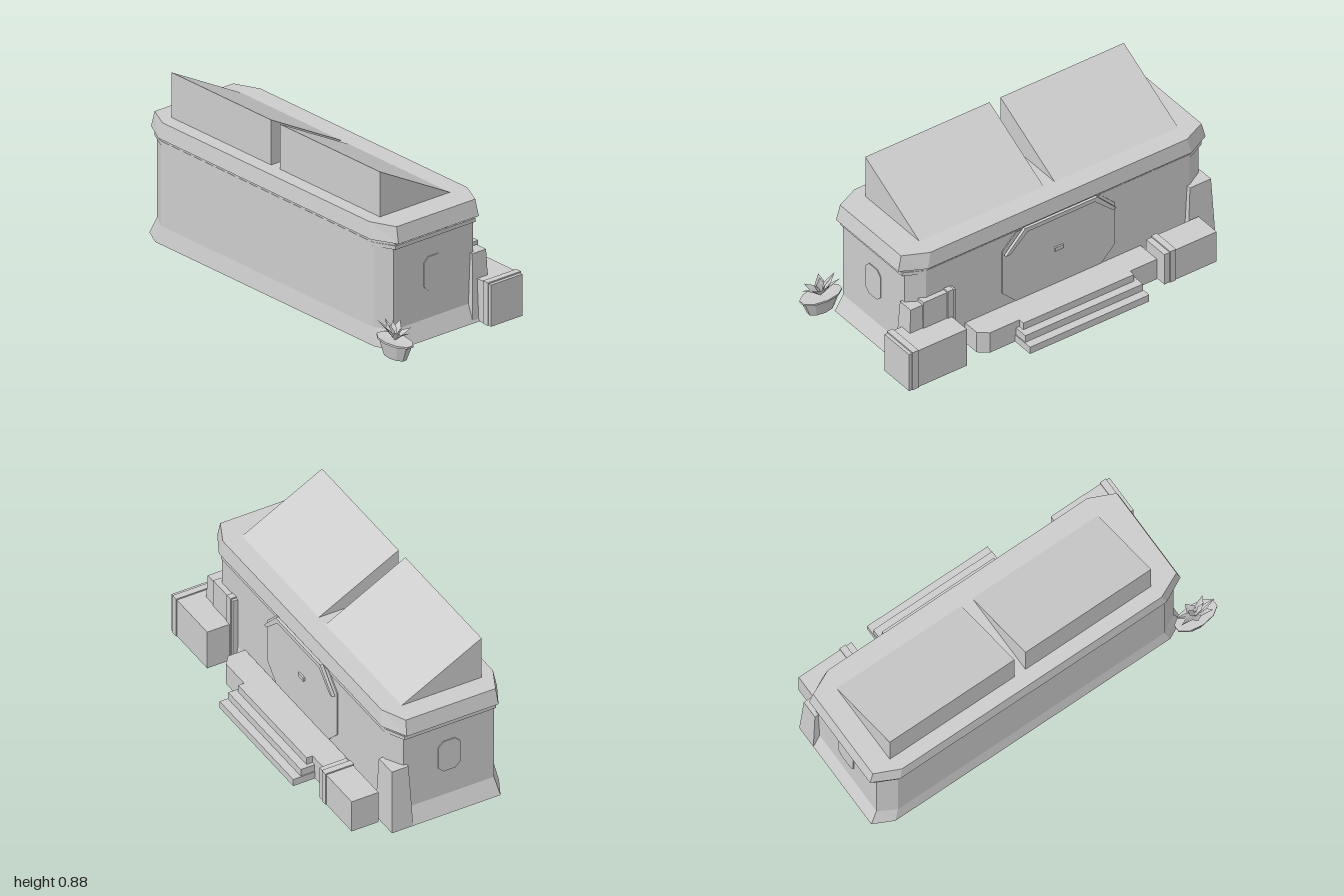
import * as THREE from 'three';

const grey = new THREE.MeshStandardMaterial({ color: 0xcccccc, side: THREE.DoubleSide, flatShading: true });
grey.name = 'plain grey';
const CX = -0.085, CZ = 0.0925;

export function createModel() {
  const root = new THREE.Group();
  root.name = 'outpostBuilding';

  const add = (name, geo, parent = root) => {
    const m = new THREE.Mesh(geo, grey);
    m.name = name;
    parent.add(m);
    return m;
  };
  const vectors = (pts) => pts.map((p) => new THREE.Vector2(...p));

  // Loft through rings of [x, z] at rising heights, closed on top and open below
  const loft = (name, rings) => {
    const pos = [], n = rings[0].pts.length;
    const put = (r, i) => pos.push(r.pts[i % n][0], r.y, r.pts[i % n][1]);
    for (let k = 0; k < rings.length - 1; k++) {
      const a = rings[k], b = rings[k + 1];
      for (let i = 0; i < n; i++) {
        put(a, i); put(b, i); put(b, i + 1);
        put(a, i); put(b, i + 1); put(a, i + 1);
      }
    }
    const top = rings[rings.length - 1];
    for (let i = 1; i < n - 1; i++) {
      put(top, 0); put(top, i + 1); put(top, i);
    }
    const g = new THREE.BufferGeometry();
    g.setAttribute('position', new THREE.Float32BufferAttribute(pos, 3));
    g.computeVertexNormals();
    return add(name, g);
  };

  // Octagonal plan: half sizes and corner cuts
  const oct = (y, hx, hz, cx, cz) => ({
    y,
    pts: [[hx, -hz + cz], [hx, hz - cz], [hx - cx, hz], [-hx + cx, hz],
      [-hx, hz - cz], [-hx, -hz + cz], [-hx + cx, -hz], [hx - cx, -hz]].map(([x, z]) => [x + CX, z + CZ]),
  });
  const rect = (y, x0, x1, z0, z1) => ({ y, pts: [[x1, z0], [x1, z1], [x0, z1], [x0, z0]] });
  // Straight block without an underside
  const block = (name, x0, x1, y0, y1, z0, z1) => loft(name, [rect(y0, x0, x1, z0, z1), rect(y1, x0, x1, z0, z1)]);

  // Walls with flared foot, raised floor, trim bands and roof slab
  loft('walls', [oct(0, 0.915, 0.318, 0.105, 0.052), oct(0.09, 0.875, 0.304, 0.09, 0.052), oct(0.56, 0.875, 0.304, 0.09, 0.052)]);
  loft('floor', [oct(0.09, 0.875, 0.304, 0.09, 0.052)]);
  for (const [y0, y1, out] of [[0.52, 0.54, 0.017], [0.54, 0.56, 0.01]]) {
    const hx = 0.875 + out, hz = 0.304 + out * 0.2, cx = 0.09 + out;
    loft('trimBand', [oct(y0, 0.87, 0.302, 0.09, 0.052), oct(y0, hx, hz, cx, 0.053), oct(y1, hx, hz, cx, 0.053)]);
  }
  loft('roofSlab', [oct(0.558, 0.87, 0.302, 0.09, 0.052), oct(0.558, 0.915, 0.321, 0.13, 0.066), oct(0.642, 0.895, 0.31, 0.13, 0.06)]);

  // Sloped roof panels
  const wedge = new THREE.Shape(vectors([[-0.328, 0.64], [0.12, 0.64], [-0.328, 0.88]]));
  for (const [x0, x1] of [[-0.87, -0.135], [-0.07, 0.67]]) {
    add('roofPanel', new THREE.ExtrudeGeometry(wedge, { depth: x1 - x0, bevelEnabled: false })
      .rotateY(Math.PI / 2).translate(x0, 0, 0));
  }

  // Thin eight-sided plate in the xy plane
  const plate = (w, h, c) => new THREE.ExtrudeGeometry(new THREE.Shape(vectors(
    [[w, -h + c], [w, h - c], [w - c, h], [-w + c, h], [-w, h - c], [-w, -h + c], [-w + c, -h], [w - c, -h]])),
  { depth: 0.009, bevelEnabled: false }).translate(0, 0, -0.0045);

  // Side windows
  for (const s of [-1, 1]) {
    add('sideWindow', plate(0.061, 0.09, 0.028).rotateY(Math.PI / 2).translate(CX + s * 0.8755, 0.325, 0.094));
  }

  // Door in the back wall, with its handle
  add('door', plate(0.335, 0.21, 0.085).translate(CX, 0.325, -0.2125));
  block('doorHandle', CX - 0.025, CX + 0.025, 0.32, 0.342, -0.226, -0.21);

  // Bent canopy bar standing off above the door
  const bar = [[-0.33, 0.435], [-0.215, 0.553], [0.215, 0.553], [0.33, 0.435],
    [0.305, 0.435], [0.2, 0.53], [-0.2, 0.53], [-0.305, 0.435]];
  add('doorCanopy', new THREE.ExtrudeGeometry(new THREE.Shape(vectors(bar)),
    { depth: 0.016, bevelEnabled: false }).translate(CX, 0, -0.241));

  // Porch and steps
  const porch = [[0.47, -0.31], [0.47, -0.215], [-0.575, -0.215], [-0.575, -0.35], [0.42, -0.35]];
  loft('porch', [{ y: 0, pts: porch }, { y: 0.12, pts: porch }]);
  block('topStep', -0.415, 0.245, 0, 0.12, -0.383, -0.35);
  block('middleStep', -0.435, 0.265, 0, 0.08, -0.427, -0.35);
  block('bottomStep', -0.44, 0.27, 0, 0.04, -0.472, -0.35);

  // Tapered corner buttresses
  loft('leftButtress', [rect(0, 0.67, 0.825, -0.24, -0.127), rect(0.355, 0.69, 0.805, -0.23, -0.142)]);
  loft('rightButtress', [rect(0, -1, -0.835, -0.245, -0.127), rect(0.355, -0.98, -0.855, -0.235, -0.142)]);

  // Crates, each with a raised strap
  const crate = (name, x0, x1, h, z0, z1, s) => {
    block(name, x0, x1, 0, h, z0, z1);
    block('crateStrap', s, s + 0.035, 0, h + 0.007, z0 - 0.005, z1 + 0.005);
  };
  crate('leftCrate', 0.57, 0.915, 0.22, -0.368, -0.167, 0.862);
  crate('rightCrate', -0.89, -0.578, 0.18, -0.406, -0.257, -0.645);
  crate('tallCrate', 0.545, 0.735, 0.375, -0.24, -0.195, 0.56);

  // Oval planter with pointed leaves
  const planter = new THREE.Group();
  planter.name = 'planter';
  planter.position.set(0.876, 0, 0.41);
  planter.scale.set(2, 1, 1);
  root.add(planter);
  const profile = [[0, 0], [0.038, 0], [0.055, 0.08], [0.06, 0.08], [0.06, 0.09], [0.052, 0.09], [0, 0.086]];
  add('pot', new THREE.LatheGeometry(vectors(profile), 10), planter);
  const leaf = (r, h, w) => {
    const g = new THREE.BufferGeometry();
    const mr = r * 0.5, my = 0.09 + (h - 0.09) * 0.62;
    g.setAttribute('position', new THREE.Float32BufferAttribute([
      0, 0.085, 0, mr, my - 0.006, 0, mr, my, w, 0, 0.085, 0, mr, my, -w, mr, my - 0.006, 0,
      r, h, 0, mr, my, w, mr, my - 0.006, 0, r, h, 0, mr, my - 0.006, 0, mr, my, -w], 3));
    g.computeVertexNormals();
    return g;
  };
  for (let i = 0; i < 7; i++) {
    add('outerLeaf', leaf(0.056, 0.158 + (i % 3) * 0.006, 0.013).rotateY(i * Math.PI * 2 / 7), planter);
  }
  for (let i = 0; i < 3; i++) {
    add('innerLeaf', leaf(0.025, 0.172, 0.011).rotateY(i * Math.PI * 2 / 3 + 0.3), planter);
  }

  return root;
}
